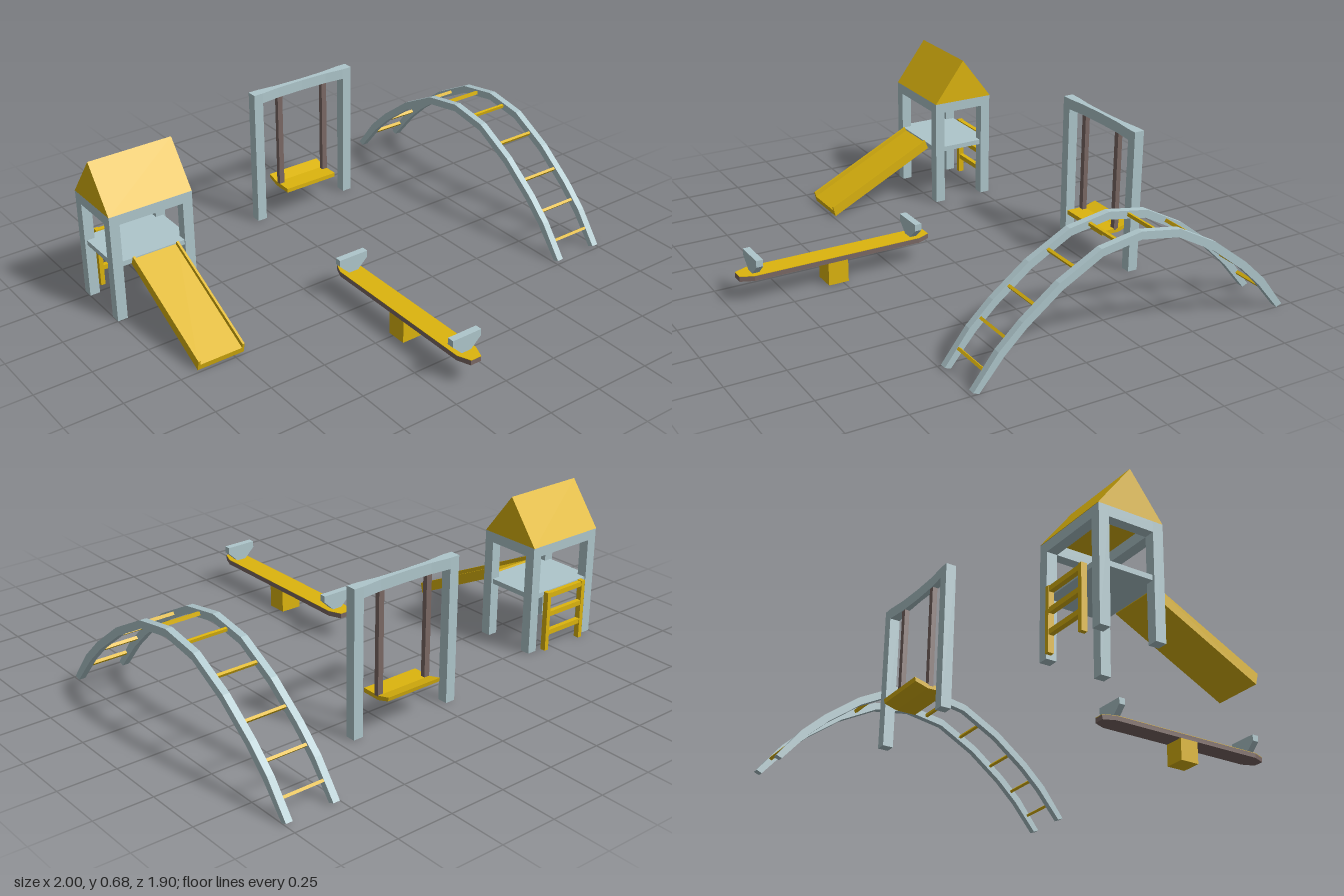
import * as THREE from 'three';

const mat = (name, color) => Object.assign(new THREE.MeshStandardMaterial({ color }), { name });

export function createModel() {
  const yellow = mat('yellow', 0xdcb40e);
  const steel = mat('pale blue grey', 0xaec6cb);
  const brown = mat('brown', 0x7a6864);
  const model = new THREE.Group();

  const section = (name) => {
    const g = new THREE.Group();
    g.name = name;
    model.add(g);
    return g;
  };
  const add = (group, name, geo, material) => {
    const m = new THREE.Mesh(geo, material);
    m.name = name;
    group.add(m);
    return m;
  };
  // Box given by its minimum and maximum on each axis
  const box = (group, name, material, x0, x1, y0, y1, z0, z1) => {
    const geo = new THREE.BoxGeometry(x1 - x0, y1 - y0, z1 - z0);
    geo.translate((x0 + x1) / 2, (y0 + y1) / 2, (z0 + z1) / 2);
    return add(group, name, geo, material);
  };
  const extrude = (pts, depth) => new THREE.ExtrudeGeometry(
    new THREE.Shape(pts.map(([a, b]) => new THREE.Vector2(a, b))), { depth, bevelEnabled: false });
  // Side profile of (z, y) points, extruded from x0 to x1
  const side = (group, name, material, pts, x0, x1) =>
    add(group, name, extrude(pts, x1 - x0).rotateY(-Math.PI / 2).translate(x1, 0, 0), material);
  // Plan outline of (x, z) points, extruded from y0 to y1
  const plan = (group, name, material, pts, y0, y1) =>
    add(group, name, extrude(pts.map(([x, z]) => [x, -z]), y1 - y0)
      .rotateX(-Math.PI / 2).translate(0, y0, 0), material);

  // Playhouse: posts, top frame, floor and gable roof
  const house = section('playhouse');
  for (const x of [-1, -0.665]) {
    for (const z of [-0.535, -0.295]) box(house, 'post', steel, x, x + 0.045, 0, 0.485, z, z + 0.045);
    box(house, 'sideBeam', steel, x, x + 0.045, 0.44, 0.485, -0.49, -0.295);
  }
  for (const z of [-0.535, -0.295])
    box(house, 'crossBeam', steel, -0.955, -0.665, 0.44, 0.485, z, z + 0.045);
  box(house, 'floor', steel, -0.99, -0.63, 0.245, 0.267, -0.53, -0.255);
  side(house, 'roof', yellow, [[-0.537, 0.485], [-0.393, 0.675], [-0.25, 0.485]], -1, -0.62);

  // Slide with a thin rail on each edge
  const slide = section('slide');
  side(slide, 'slideBed', yellow,
    [[0.235, 0], [0.241, 0.025], [-0.243, 0.27], [-0.252, 0.245]], -0.915, -0.705);
  for (const x of [-0.916, -0.714])
    side(slide, 'slideRail', yellow,
      [[0.235, 0], [0.246, 0.045], [-0.236, 0.285], [-0.252, 0.245]], x, x + 0.01);

  // Ladder behind the playhouse
  const ladder = section('ladder');
  for (const x of [-0.925, -0.715]) box(ladder, 'ladderRail', yellow, x, x + 0.02, 0, 0.27, -0.56, -0.535);
  for (const y of [0.07, 0.157, 0.245])
    box(ladder, 'ladderRung', yellow, -0.905, -0.715, y, y + 0.022, -0.558, -0.537);

  // Swing: posts, waisted beam, hangers and a seat with a raised back edge
  const swing = section('swing');
  for (const x of [-0.085, 0.395]) box(swing, 'swingPost', steel, x, x + 0.045, 0, 0.63, -0.64, -0.595);
  const waist = [[-0.04, 0.0225], [0.05, 0.013], [0.18, 0.01], [0.305, 0.013], [0.395, 0.0225]];
  plan(swing, 'swingBeam', steel, [
    ...waist.map(([x, w]) => [x, -0.6175 + w]),
    ...waist.map(([x, w]) => [x, -0.6175 - w]).reverse(),
  ], 0.583, 0.63);
  for (const x of [0.045, 0.285])
    box(swing, 'hanger', brown, x, x + 0.025, 0.14, 0.583, -0.628, -0.607);
  side(swing, 'swingSeat', yellow, [
    [-0.545, 0.127], [-0.545, 0.146], [-0.63, 0.146], [-0.69, 0.162], [-0.686, 0.144], [-0.63, 0.127],
  ], 0.045, 0.31);

  // Seesaw: block base, plank with a painted top, and two flared handles
  const seesaw = section('seesaw');
  const cx = -0.112;
  const plank = [
    [cx - 0.025, 0.085], [cx + 0.025, 0.085], [cx + 0.048, 0.14], [cx + 0.048, 0.89],
    [cx + 0.025, 0.947], [cx - 0.025, 0.947], [cx - 0.048, 0.89], [cx - 0.048, 0.14],
  ];
  box(seesaw, 'seesawBase', yellow, cx - 0.048, cx + 0.048, 0, 0.1, 0.475, 0.565);
  plan(seesaw, 'plank', brown, plank, 0.1, 0.121);
  plan(seesaw, 'plankTop', yellow, plank, 0.121, 0.123);
  const handle = [[-0.022, 0.122], [0.022, 0.122], [0.07, 0.168], [0.07, 0.197], [-0.07, 0.197], [-0.07, 0.168]];
  for (const z of [0.14, 0.86])
    add(seesaw, 'seesawHandle', extrude(handle, 0.03).translate(cx, 0, z), steel);

  // Climbing arch: two faceted curved rails joined by rungs
  const arch = section('climbingArch');
  const cz = -0.23;
  const outer = [[0.72, 0.01], [0.615, 0.148], [0.515, 0.243], [0.36, 0.362], [0.18, 0.458], [0, 0.488]];
  const inner = [[0.695, 0], [0.588, 0.128], [0.495, 0.217], [0.345, 0.332], [0.172, 0.426], [0, 0.455]];
  const span = (half) => [
    ...half.map(([d, y]) => [cz + d, y]),
    ...half.slice(0, -1).reverse().map(([d, y]) => [cz - d, y]),
  ];
  const archProfile = [...span(outer), ...span(inner).reverse()];
  for (const x of [0.76, 0.97]) side(arch, 'archRail', steel, archProfile, x, x + 0.03);
  const rungs = [[0.66, 0.075, 0.92], [0.565, 0.178, 0.78], [0.445, 0.282, 0.65], [0.275, 0.392, 0.5], [0.09, 0.458, 0.17]];
  for (const s of [1, -1]) {
    for (const [d, y, tilt] of rungs) {
      const rung = add(arch, 'archRung', new THREE.BoxGeometry(0.18, 0.014, 0.012), yellow);
      rung.position.set(0.88, y, cz + s * d);
      rung.rotation.x = s * tilt;
    }
  }
  return model;
}
